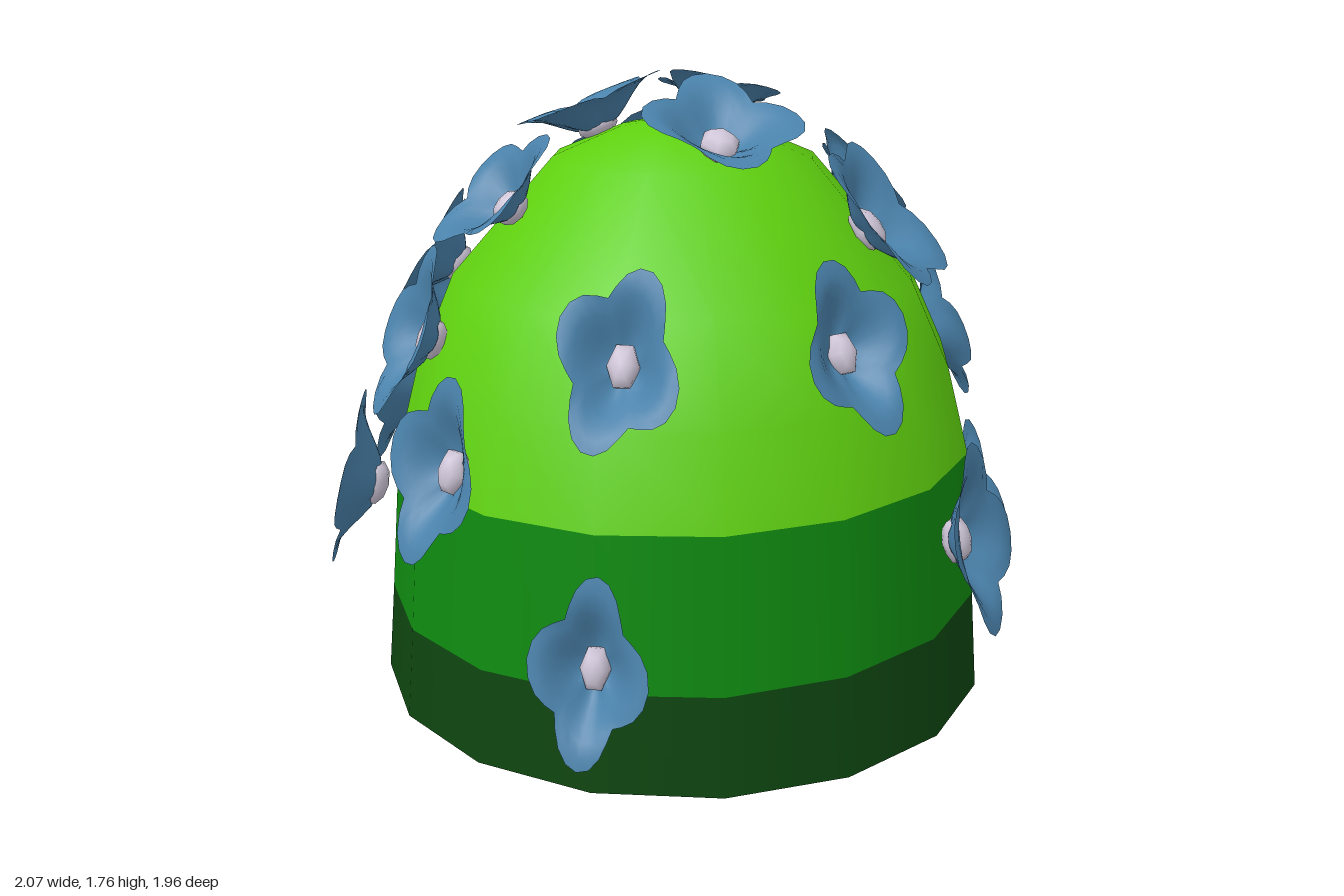
import * as THREE from 'three';

const mat = (name, color, side = THREE.FrontSide) => {
  const m = new THREE.MeshStandardMaterial({ color, side });
  m.name = name;
  return m;
};
const RAD = Math.PI / 180;
const SIDES = 16;

// Each flower: x, y, z of the centre, twist in degrees, half width, half height
const FLOWERS = [
  [-0.23, 1.61, -0.09, 14, 0.24, 0.24],
  [0.12, 1.63, -0.12, 0, 0.2, 0.2],
  [0.04, 1.6, 0.32, 8, 0.22, 0.25],
  [-0.07, 1.38, -0.48, -15, 0.21, 0.25],
  [0.36, 1.28, -0.55, 0, 0.22, 0.3],
  [-0.43, 1.04, -0.58, 0, 0.18, 0.23],
  [-0.64, 1.2, -0.2, 25, 0.19, 0.23],
  [-0.75, 0.78, -0.33, -5, 0.18, 0.26],
  [-0.62, 1.02, -0.41, 0, 0.15, 0.19],
  [-0.51, 1.42, 0.15, 26, 0.18, 0.22],
  [-0.74, 1.06, 0.145, 0, 0.18, 0.25],
  [0.52, 1.38, -0.09, -16, 0.18, 0.21],
  [0.455, 1.36, 0.34, 42, 0.2, 0.27],
  [0.76, 0.95, -0.04, 0, 0.18, 0.24],
  [0.7, 0.92, -0.345, -18, 0.18, 0.23],
  [-0.71, 0.78, 0.475, 12, 0.18, 0.26],
  [-0.29, 1.11, 0.71, 25, 0.17, 0.25],
  [0.28, 1.11, 0.7, -16, 0.17, 0.24],
  [-0.39, 0.36, 0.84, 6, 0.16, 0.25],
  [0.65, 0.54, 0.62, 8, 0.18, 0.27],
  [0.05, 0.55, -0.85, 0, 0.2, 0.27],
  [-0.5, 0.45, -0.74, 0, 0.19, 0.26],
  [0.56, 0.44, -0.69, 0, 0.19, 0.26],
  [0.9, 0.39, -0.02, 0, 0.2, 0.27],
  [-0.91, 0.54, -0.17, 0, 0.2, 0.28],
];

// Four-pointed cupped blossom of unit radius, facing +y
function petalGeometry() {
  const rings = 7, segs = 32, pos = [0, 0, 0], idx = [];
  for (let i = 1; i <= rings; i++) {
    for (let j = 0; j < segs; j++) {
      const a = (j / segs) * Math.PI * 2;
      const point = Math.pow(Math.abs(Math.cos(2 * a)), 1.4);
      const r = (i / rings) * (0.68 + 0.32 * point);
      // petals rise from the cup, then flare flat at the tips
      const lift = 0.46 * THREE.MathUtils.smoothstep(r, 0.12, 0.85);
      const crease = 0.06 * (1 - point) * Math.sin((i / rings) * Math.PI);
      pos.push(Math.sin(a) * r, lift + crease, Math.cos(a) * r);
      const j2 = (j + 1) % segs, c = 1 + (i - 1) * segs;
      if (i === 1) idx.push(0, 1 + j, 1 + j2);
      else idx.push(c - segs + j, c + j, c + j2, c - segs + j, c + j2, c - segs + j2);
    }
  }
  const g = new THREE.BufferGeometry();
  g.setAttribute('position', new THREE.Float32BufferAttribute(pos, 3));
  g.setIndex(idx);
  g.computeVertexNormals();
  return g;
}

export function createModel() {
  const model = new THREE.Group();
  model.name = 'floweringBush';
  const lightGreen = mat('light green', 0x5fd00f);
  const midGreen = mat('mid green', 0x0f8a10);
  const darkGreen = mat('dark green', 0x0e4510);
  const petalBlue = mat('petal blue', 0x4a82ab, THREE.DoubleSide);
  const paleLilac = mat('pale lilac', 0xcfc6d8);

  // Bush bands, slightly slanted towards one side
  const band = (name, profile, material) => {
    const pts = profile.map(([r, y]) => new THREE.Vector2(r, y));
    const g = new THREE.LatheGeometry(pts, SIDES, 18 * RAD);
    const p = g.attributes.position;
    for (let i = 0; i < p.count; i++) {
      const y = p.getY(i);
      if (y > 0.1 && y < 1) p.setY(i, y + 0.018 * p.getX(i));
    }
    const mesh = new THREE.Mesh(g, material);
    mesh.name = name;
    mesh.position.z = 0.03;
    model.add(mesh);
  };
  band('underside', [[0, 0], [0.89, 0]], darkGreen);
  band('lowerBand', [[0.89, 0], [0.868, 0.275]], darkGreen);
  band('middleBand', [[0.868, 0.275], [0.835, 0.7]], midGreen);
  band('crown', [[0.835, 0.7], [0.77, 0.95], [0.66, 1.2], [0.37, 1.53], [0.18, 1.61], [0, 1.64]], lightGreen);

  // Flowers facing outward from the bush
  const petals = petalGeometry();
  const heart = new THREE.SphereGeometry(1, 6, 5);
  for (const [x, y, z, twist, w, h] of FLOWERS) {
    const az = Math.atan2(z, x);
    const tilt = (78 - 58 * Math.pow(y / 1.62, 4)) * RAD;
    const c = Math.cos(az), s = Math.sin(az);
    const out = new THREE.Vector3(c * Math.sin(tilt), Math.cos(tilt), s * Math.sin(tilt));
    const down = new THREE.Vector3(c * Math.cos(tilt), -Math.sin(tilt), s * Math.cos(tilt));
    const side = new THREE.Vector3().crossVectors(out, down);

    const flower = new THREE.Group();
    flower.name = 'flower';
    flower.quaternion.setFromRotationMatrix(new THREE.Matrix4().makeBasis(side, out, down));
    flower.position.set(x, y, z).addScaledVector(out, -0.02);
    flower.scale.set(w, 0.2, h);

    const blossom = new THREE.Mesh(petals, petalBlue);
    blossom.name = 'petals';
    blossom.rotation.y = -twist * RAD;
    const centre = new THREE.Mesh(heart, paleLilac);
    centre.name = 'flowerCentre';
    centre.scale.set(0.26, 0.2, 0.26);
    centre.position.y = 0.06;
    flower.add(blossom, centre);
    model.add(flower);
  }
  return model;
}
